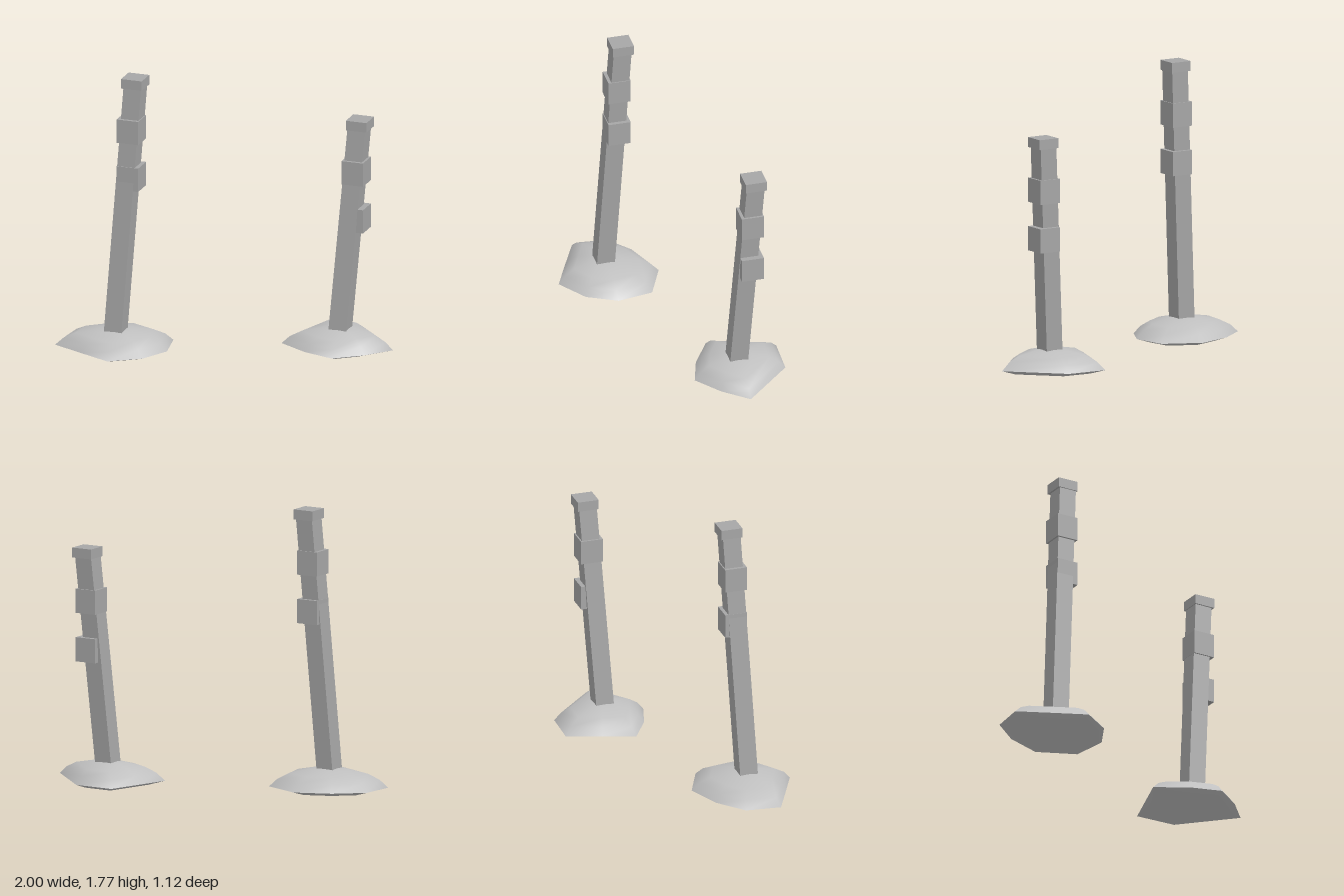
import * as THREE from 'three';

const postGrey = new THREE.MeshStandardMaterial({ color: 0xa6a6a6 });
postGrey.name = 'post grey';
const moundGrey = new THREE.MeshStandardMaterial({ color: 0xc0c0c0 });
moundGrey.name = 'mound grey';

function part(name, geometry, material) {
  const mesh = new THREE.Mesh(geometry, material);
  mesh.name = name;
  return mesh;
}

// Rings scaled from an outline about a centre, closed by a fan at the tip.
// Each ring is [scale, y]; the last one has scale 0.
function shell(outline, [cx, cz], rings, facingDown) {
  const n = outline.length, pos = [], index = [];
  for (const [s, y] of rings) {
    for (const [x, z] of outline) pos.push(cx + (x - cx) * s, y, cz + (z - cz) * s);
  }
  const tip = (rings.length - 1) * n;
  const tri = (a, b, c) => (facingDown ? index.push(a, c, b) : index.push(a, b, c));
  for (let r = 0; r < rings.length - 1; r++) {
    for (let i = 0; i < n; i++) {
      const j = (i + 1) % n, a = r * n + i, b = r * n + j;
      if (r === rings.length - 2) tri(a, b, tip);
      else { tri(a, b, b + n); tri(a, b + n, a + n); }
    }
  }
  const g = new THREE.BufferGeometry();
  g.setAttribute('position', new THREE.Float32BufferAttribute(pos, 3));
  g.setIndex(index);
  g.computeVertexNormals();
  return g;
}

// Square post that leans by shearing while its ends stay level
function leaningPost([x0, z0], [x1, z1], y0, y1) {
  const h = y1 - y0, kx = (x1 - x0) / h, kz = (z1 - z0) / h;
  const g = new THREE.BoxGeometry(0.115, h, 0.115).translate(0, h / 2, 0);
  return g.applyMatrix4(new THREE.Matrix4().set(
    1, kx, 0, x0,
    0, 1, 0, y0,
    0, kz, 1, z0,
    0, 0, 0, 1));
}

function block(name, x, y, z, width, height) {
  const mesh = part(name, new THREE.BoxGeometry(width, height, width), postGrey);
  mesh.position.set(x, y, z);
  return mesh;
}

function pillar(name, p) {
  const group = new THREE.Group();
  group.name = name;
  // Mound with a rounded top and a shallow underside
  group.add(part('moundTop', shell(p.outline, p.foot,
    [[1, 0.033], [0.86, 0.08], [0.66, 0.115], [0.33, 0.138], [0, 0.148]], false), moundGrey));
  group.add(part('moundUnderside', shell(p.outline, p.foot,
    [[1, 0.033], [0.72, 0.004], [0, 0]], true), moundGrey));
  // Post, two collar blocks and a cap
  group.add(part('post', leaningPost(p.foot, p.head, 0.13, p.top - 0.06), postGrey));
  const [bx, bz] = p.collar;
  group.add(block('upperCollar', bx, p.top - 0.335, bz, 0.142, 0.152));
  group.add(block('lowerCollar', bx, p.top - 0.64, bz, 0.142, 0.152));
  group.add(block('cap', p.cap[0], p.top - 0.031, p.cap[1], 0.136, 0.062));
  return group;
}

export function createModel() {
  const model = new THREE.Group();
  model.name = 'leaningPillars';
  // Outlines run anticlockwise as seen from above
  model.add(pillar('tallPillar', {
    outline: [[-1, 0.36], [-0.8, 0.455], [-0.585, 0.555], [-0.4, 0.43], [-0.305, 0.245],
      [-0.345, 0.02], [-0.585, -0.085], [-0.81, 0], [-0.98, 0.14]],
    foot: [-0.64, 0.253], head: [-0.54, 0.173],
    collar: [-0.56, 0.19], cap: [-0.542, 0.17], top: 1.773,
  }));
  model.add(pillar('shortPillar', {
    outline: [[0.305, -0.15], [0.5, -0.035], [0.7, 0.025], [0.865, -0.1], [1, -0.255],
      [0.7, -0.555], [0.44, -0.565], [0.37, -0.35]],
    foot: [0.652, -0.257], head: [0.748, -0.337],
    collar: [0.734, -0.32], cap: [0.752, -0.338], top: 1.49,
  }));
  return model;
}
